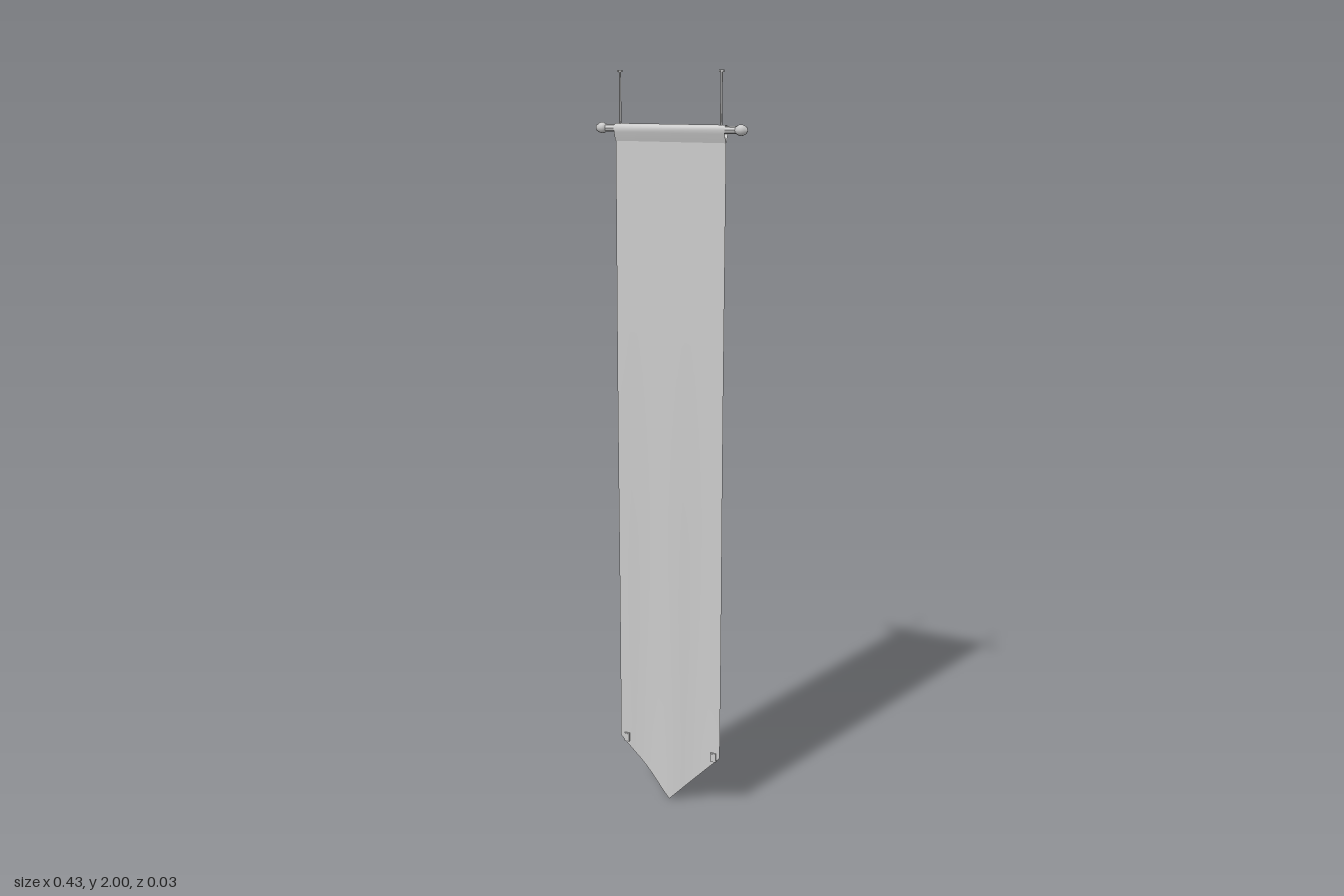
import * as THREE from 'three';

const HALF = 0.157;      // half width of the cloth
const ROD_Y = 1.857;
const SEAM_Y = 1.825;    // where the sleeve is sewn to the cloth

// Soft vertical folds that grow towards the hem
function foldZ(x, y) {
  const t = THREE.MathUtils.clamp((SEAM_Y - y) / SEAM_Y, 0, 1);
  return 0.0045 * t * Math.cos((x / HALF) * Math.PI * 2) + 0.003 * Math.sin(t * Math.PI * 2) * t;
}

// Grid surface from a function (u, v) -> [x, y, z]
function sheet(nu, nv, point) {
  const pos = [], index = [];
  for (let j = 0; j <= nv; j++) {
    for (let i = 0; i <= nu; i++) pos.push(...point(i / nu, j / nv));
  }
  for (let j = 0; j < nv; j++) {
    for (let i = 0; i < nu; i++) {
      const a = j * (nu + 1) + i, b = a + nu + 1;
      index.push(a, b, a + 1, b, b + 1, a + 1);
    }
  }
  const g = new THREE.BufferGeometry();
  g.setAttribute('position', new THREE.Float32BufferAttribute(pos, 3));
  g.setIndex(index);
  g.computeVertexNormals();
  return g;
}

export function createModel() {
  const model = new THREE.Group();
  const hard = new THREE.MeshStandardMaterial({ color: 0xcccccc, flatShading: true });
  const smooth = new THREE.MeshStandardMaterial({ color: 0xcccccc });
  const fabric = new THREE.MeshStandardMaterial({ color: 0xcccccc, side: THREE.DoubleSide });

  function add(name, geometry, material, x = 0, y = 0, z = 0) {
    const mesh = new THREE.Mesh(geometry, material);
    mesh.name = name;
    mesh.position.set(x, y, z);
    model.add(mesh);
    return mesh;
  }

  // Long cloth ending in a point
  add('bannerCloth', sheet(16, 24, (u, v) => {
    const x = (u * 2 - 1) * HALF;
    const bottom = 0.003 + 0.162 * Math.abs(x) / HALF;
    const y = THREE.MathUtils.lerp(SEAM_Y, bottom, v);
    return [x, y, foldZ(x, y)];
  }), fabric);

  // Sleeve folded over the rod: back seam, over the top, front seam
  const loop = [
    [1.825, 0], [1.847, -0.010], [1.857, -0.0125], [1.865, -0.009], [1.869, 0],
    [1.865, 0.008], [1.857, 0.011], [1.847, 0.009], [1.825, 0.002],
  ];
  add('rodSleeve', sheet(1, loop.length - 1, (u, v) => {
    const [y, z] = loop[Math.round(v * (loop.length - 1))];
    return [(u * 2 - 1) * HALF, y, z];
  }), fabric);

  // Horizontal rod
  const rod = new THREE.CylinderGeometry(0.0095, 0.0095, 0.39, 8);
  rod.rotateZ(Math.PI / 2);
  add('rod', rod, hard, 0, ROD_Y, 0);

  // Pointed egg-shaped finial profile
  const finial = new THREE.LatheGeometry([
    [0, -0.018], [0.009, -0.016], [0.0135, -0.007], [0.0135, 0.002], [0.0095, 0.011], [0, 0.017],
  ].map(([r, y]) => new THREE.Vector2(r, y)), 8);

  for (const side of [-1, 1]) {
    const name = side > 0 ? 'left' : 'right';

    add(name + 'Finial', finial, smooth, side * 0.199, ROD_Y, 0).rotation.z = -side * Math.PI / 2;

    // Hanging wire with a small cap
    add(name + 'Hanger', new THREE.CylinderGeometry(0.003, 0.003, 0.135, 5), hard, side * 0.143, 1.93, 0);
    add(name + 'HangerCap', new THREE.CylinderGeometry(0.007, 0.007, 0.006, 5), hard, side * 0.143, 1.997, 0);

    // Clip at the lower corner, with a narrower raised tongue
    const x = side * 0.137, z = foldZ(x, 0.163);
    add(name + 'Clip', new THREE.BoxGeometry(0.016, 0.026, 0.007), hard, x, 0.163, z);
    add(name + 'ClipTongue', new THREE.BoxGeometry(0.006, 0.022, 0.010), hard, x, 0.163, z);
  }

  return model;
}
